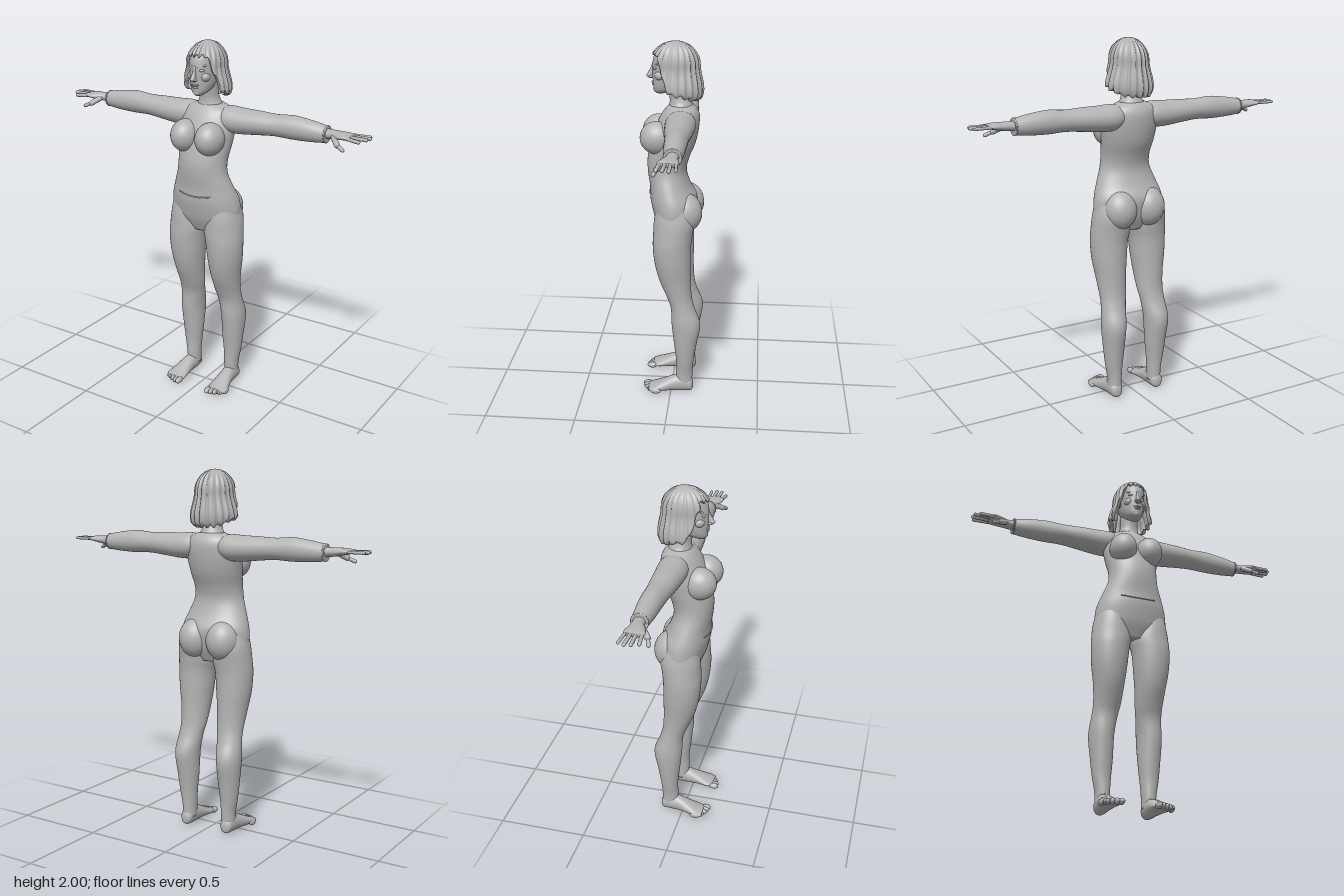
import * as THREE from 'three';

const grey = new THREE.MeshStandardMaterial({ color: 0xb4b4b4 });
grey.name = 'mannequin grey';
const hairGrey = new THREE.MeshStandardMaterial({ color: 0xb2b2b2, side: THREE.DoubleSide });
hairGrey.name = 'hair grey';

// Closed-ring surface: point(u, angle) for u in 0..1, optionally capped at both ends
function ringSurface(point, rows, cols, capped) {
  const pos = [], idx = [];
  for (let i = 0; i <= rows; i++)
    for (let j = 0; j < cols; j++) pos.push(...point(i / rows, (j / cols) * Math.PI * 2));
  for (let i = 0; i < rows; i++)
    for (let j = 0; j < cols; j++) {
      const a = i * cols + j, b = i * cols + (j + 1) % cols;
      idx.push(a, a + cols, b, b, a + cols, b + cols);
    }
  if (capped) for (const row of [0, rows]) {
    const c = [0, 0, 0], centre = pos.length / 3;
    for (let j = 0; j < cols; j++)
      for (let k = 0; k < 3; k++) c[k] += pos[(row * cols + j) * 3 + k] / cols;
    pos.push(...c);
    for (let j = 0; j < cols; j++) {
      const a = row * cols + j, b = row * cols + (j + 1) % cols;
      if (row) idx.push(centre, b, a); else idx.push(centre, a, b);
    }
  }
  const g = new THREE.BufferGeometry();
  g.setAttribute('position', new THREE.Float32BufferAttribute(pos, 3));
  g.setIndex(idx);
  g.computeVertexNormals();
  return g;
}

// Smooth loft of ellipses [t, centreA, centreB, radiusA, radiusB], listed with t ascending
function loft(axis, s, cols = 40) {
  const at = (i, k) => s[Math.max(0, Math.min(s.length - 1, i))][k];
  const point = (u, ang) => {
    const f = u * (s.length - 1), i = Math.min(Math.floor(f), s.length - 2), w = f - i;
    const [t, a, b, ra, rb] = [0, 1, 2, 3, 4].map(k => {
      const p = at(i - 1, k), q = at(i, k), r = at(i + 1, k), e = at(i + 2, k);
      return q + 0.5 * w * (r - p + w * (2 * p - 5 * q + 4 * r - e + w * (3 * (q - r) + e - p)));
    });
    const c = Math.cos(ang), n = Math.sin(ang);
    if (axis === 'y') return [a + ra * c, t, b + rb * n];
    if (axis === 'x') return [t, a + ra * n, b + rb * c];
    return [a + ra * n, b + rb * c, t];
  };
  return ringSurface(point, (s.length - 1) * 5, cols, true);
}

function add(parent, name, geometry, material = grey) {
  const m = new THREE.Mesh(geometry, material);
  m.name = name;
  parent.add(m);
  return m;
}

function blob(parent, name, [x, y, z], [rx, ry, rz]) {
  const m = add(parent, name, new THREE.SphereGeometry(1, 28, 20));
  m.position.set(x, y, z);
  m.scale.set(rx, ry, rz);
  return m;
}

// Rounded rod between two points
function rod(parent, name, from, to, r) {
  const a = new THREE.Vector3(...from), d = new THREE.Vector3(...to).sub(a);
  const m = add(parent, name, new THREE.CapsuleGeometry(r, d.length(), 5, 12));
  m.position.copy(a).addScaledVector(d, 0.5);
  m.quaternion.setFromUnitVectors(new THREE.Vector3(0, 1, 0), d.normalize());
  return m;
}

// Everything that exists once on each side of the body
function buildSide(name) {
  const g = new THREE.Group();
  g.name = name;

  add(g, 'leg', loft('y', [
    [0.05, 0.13, -0.077, 0.038, 0.045], [0.12, 0.13, -0.077, 0.04, 0.047], [0.2, 0.134, -0.08, 0.05, 0.05],
    [0.3, 0.135, -0.082, 0.06, 0.063], [0.43, 0.137, -0.085, 0.068, 0.08], [0.53, 0.127, -0.065, 0.07, 0.066],
    [0.6, 0.12, -0.045, 0.075, 0.07], [0.7, 0.12, -0.022, 0.084, 0.088], [0.8, 0.122, -0.01, 0.097, 0.1],
    [0.9, 0.12, -0.005, 0.105, 0.105], [0.97, 0.112, -0.01, 0.11, 0.108], [1.05, 0.113, -0.017, 0.1, 0.11],
    [1.13, 0.11, -0.012, 0.085, 0.09]]));
  blob(g, 'seatCurve', [0.088, 1.085, -0.072], [0.094, 0.11, 0.095]);
  blob(g, 'chestCurve', [0.077, 1.5, 0.08], [0.077, 0.088, 0.09]);

  // Foot and toes
  add(g, 'foot', loft('z', [
    [-0.128, 0.132, 0.04, 0.012, 0.018], [-0.115, 0.132, 0.045, 0.032, 0.04], [-0.075, 0.132, 0.052, 0.038, 0.051],
    [-0.02, 0.134, 0.048, 0.04, 0.047], [0.04, 0.139, 0.036, 0.049, 0.034], [0.09, 0.142, 0.025, 0.057, 0.022],
    [0.125, 0.142, 0.02, 0.05, 0.015]], 28));
  for (let i = 0; i < 5; i++)
    blob(g, 'toe', [0.101 + i * 0.0225, 0.019, 0.132 - i * i * 0.003], [i ? 0.012 : 0.017, 0.017, 0.03]);

  // Sleeve, cuff, hand
  add(g, 'arm', loft('x', [
    [0.06, 1.595, -0.05, 0.05, 0.065], [0.12, 1.59, -0.05, 0.07, 0.08], [0.2, 1.588, -0.05, 0.069, 0.078],
    [0.3, 1.592, -0.05, 0.063, 0.071], [0.4, 1.595, -0.052, 0.057, 0.062], [0.5, 1.597, -0.055, 0.062, 0.057],
    [0.6, 1.593, -0.056, 0.055, 0.052], [0.67, 1.59, -0.057, 0.046, 0.044], [0.692, 1.59, -0.057, 0.043, 0.041]]));
  const cuff = add(g, 'cuff', new THREE.TorusGeometry(0.041, 0.005, 8, 32));
  cuff.position.set(0.688, 1.59, -0.057);
  cuff.rotation.y = Math.PI / 2;
  add(g, 'hand', loft('x', [
    [0.67, 1.594, -0.058, 0.026, 0.032], [0.72, 1.595, -0.056, 0.024, 0.031], [0.76, 1.597, -0.049, 0.021, 0.043],
    [0.8, 1.6, -0.046, 0.016, 0.052], [0.83, 1.6, -0.046, 0.009, 0.046]], 24));
  const tips = [0.885, 0.912, 0.918, 0.908];
  tips.forEach((x, i) => rod(g, 'finger',
    [0.8, 1.6, -0.009 - i * 0.025], [x, i ? 1.601 : 1.593, 0.002 - i * 0.031], i === 3 ? 0.008 : 0.0095));
  rod(g, 'thumb', [0.74, 1.588, -0.025], [0.775, 1.563, 0.008], 0.015);
  rod(g, 'thumbTip', [0.775, 1.563, 0.008], [0.812, 1.546, 0.022], 0.01);

  // Face
  blob(g, 'eye', [0.032, 1.862, 0.088], [0.016, 0.008, 0.013]);
  rod(g, 'brow', [0.016, 1.882, 0.1], [0.05, 1.886, 0.078], 0.005);
  blob(g, 'nostril', [0.012, 1.813, 0.115], [0.008, 0.007, 0.011]);
  blob(g, 'cheek', [0.038, 1.825, 0.065], [0.027, 0.026, 0.028]);
  const ear = blob(g, 'ear', [0.075, 1.845, 0.002], [0.01, 0.03, 0.018]);
  ear.rotation.y = -0.3;
  return g;
}

// Ridged bob: columns fall from the crown, short over the face, long at sides and back
function hairGeometry() {
  const smooth = THREE.MathUtils.smoothstep;
  return ringSurface((u, a) => {
    const side = Math.min(a, Math.PI * 2 - a);
    const end = 1.935 - 0.2 * smooth(side, 0.6, 1.5) - 0.035 * smooth(side, 1.5, 2.6) + 0.008 * Math.sin(a * 18);
    const v = Math.min(u / 0.94, 1), y = 2 - (2 - end) * Math.pow(v, 1.7);
    const k = y > 1.88 ? Math.sqrt(Math.max(0, 1 - ((y - 1.88) / 0.12) ** 2)) : 1;
    const flare = 1 - smooth(y, 1.75, 1.88), tuck = 1 - smooth(y, 1.68, 1.74);
    const strand = 1 - 0.08 * Math.abs(Math.sin(a * 11 + v * 0.8 * Math.sin(a)));
    const curl = u > 0.95 ? 0.82 : 1;
    const rx = (0.102 * k + 0.028 * flare - 0.02 * tuck) * strand * curl;
    const rz = ((side < Math.PI / 2 ? 0.138 : 0.13) * k + 0.02 * flare - 0.015 * tuck) * strand * curl;
    return [rx * Math.sin(a), y, -0.015 + rz * Math.cos(a)];
  }, 32, 176, false);
}

export function createModel() {
  const model = new THREE.Group();
  model.name = 'mannequin';

  add(model, 'torso', loft('y', [
    [0.965, 0, -0.012, 0.11, 0.075], [1.03, 0, -0.012, 0.195, 0.105], [1.08, 0, -0.01, 0.207, 0.118],
    [1.15, 0, -0.005, 0.2, 0.127], [1.22, 0, 0.014, 0.176, 0.11], [1.3, 0, 0.03, 0.146, 0.105],
    [1.37, 0, 0.024, 0.14, 0.112], [1.45, 0, 0, 0.15, 0.12], [1.53, 0, -0.02, 0.158, 0.118],
    [1.6, 0, -0.038, 0.15, 0.105], [1.64, 0, -0.045, 0.13, 0.085], [1.665, 0, -0.045, 0.075, 0.062]], 56));
  add(model, 'neck', loft('y', [
    [1.64, 0, -0.045, 0.085, 0.07], [1.67, 0, -0.042, 0.064, 0.06], [1.7, 0, -0.037, 0.053, 0.054],
    [1.74, 0, -0.03, 0.05, 0.053], [1.8, 0, -0.025, 0.05, 0.055]]));

  // Waist seam
  const seam = new THREE.CatmullRomCurve3([-0.1, -0.05, 0, 0.05, 0.1].map(x =>
    new THREE.Vector3(x, 1.178 + x * x, 0.003 + 0.122 * Math.sqrt(1 - (x / 0.192) ** 2))));
  add(model, 'waistSeam', new THREE.TubeGeometry(seam, 24, 0.004, 6));

  // Head
  add(model, 'head', loft('y', [
    [1.725, 0, 0.066, 0.018, 0.022], [1.745, 0, 0.044, 0.043, 0.057], [1.78, 0, 0.02, 0.06, 0.085],
    [1.83, 0, 0, 0.07, 0.108], [1.88, 0, -0.005, 0.074, 0.112], [1.93, 0, -0.012, 0.073, 0.108],
    [1.965, 0, -0.015, 0.052, 0.08], [1.985, 0, -0.015, 0.018, 0.03]]));
  add(model, 'nose', loft('y', [
    [1.804, 0, 0.112, 0.008, 0.012], [1.816, 0, 0.119, 0.013, 0.021], [1.832, 0, 0.114, 0.011, 0.018],
    [1.855, 0, 0.106, 0.008, 0.013], [1.885, 0, 0.1, 0.007, 0.007]], 20));
  blob(model, 'upperLip', [0, 1.784, 0.1], [0.023, 0.006, 0.013]);
  blob(model, 'lowerLip', [0, 1.772, 0.097], [0.019, 0.007, 0.013]);
  blob(model, 'chin', [0, 1.742, 0.084], [0.021, 0.016, 0.018]);
  add(model, 'hair', hairGeometry(), hairGrey);

  const left = buildSide('leftSide'), right = buildSide('rightSide');
  right.scale.x = -1;
  model.add(left, right);
  return model;
}
